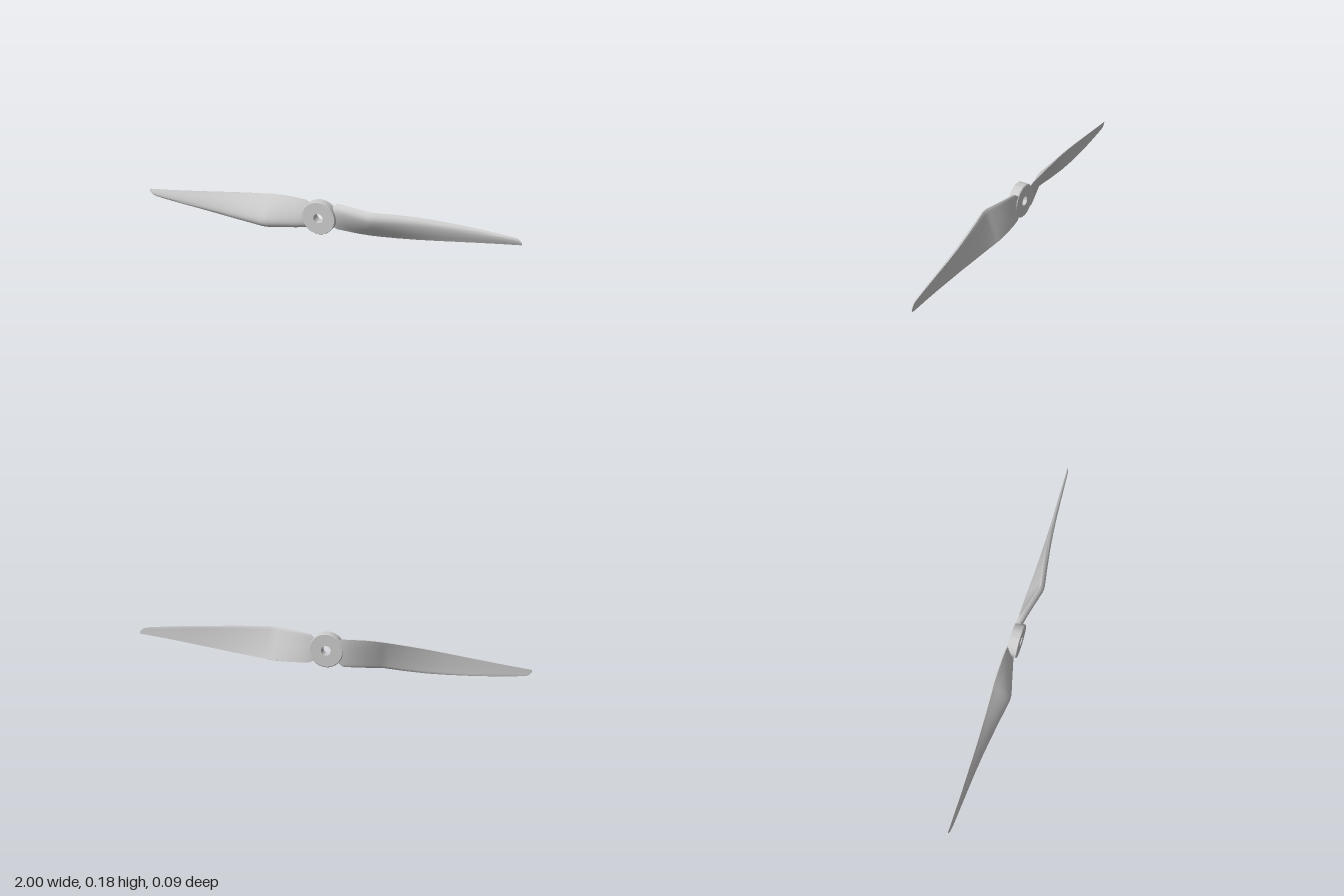
import * as THREE from 'three';
import { toCreasedNormals } from 'three/addons/utils/BufferGeometryUtils.js';

const AXIS_Y = 0.09; // height of the spin axis

// Stations along the blade: x, leading edge y z, trailing edge y z
const STATIONS = [
  [0.05, 0.143, -0.036, 0.042, -0.037],
  [0.065, 0.152, -0.034, 0.034, -0.039],
  [0.085, 0.169, -0.028, 0.024, -0.043],
  [0.13, 0.173, -0.015, 0.022, -0.046],
  [0.2, 0.176, 0.005, 0.02, -0.047],
  [0.265, 0.178, 0.025, 0.022, -0.047],
  [0.285, 0.178, 0.027, 0.024, -0.046],
  [0.31, 0.179, 0.024, 0.026, -0.044],
  [0.4, 0.179, 0.008, 0.035, -0.04],
  [0.5, 0.177, -0.007, 0.046, -0.037],
  [0.6, 0.172, -0.018, 0.059, -0.035],
  [0.7, 0.166, -0.025, 0.072, -0.035],
  [0.8, 0.159, -0.029, 0.085, -0.035],
  [0.9, 0.15, -0.032, 0.097, -0.036],
  [0.965, 0.143, -0.034, 0.104, -0.037],
  [0.985, 0.136, -0.035, 0.106, -0.037],
  [1.0, 0.12, -0.036, 0.108, -0.037],
];

// Airfoil: chord fraction and height over the chord, front side then back side
const AIRFOIL = [
  [0, 0], [0.008, 0.045], [0.03, 0.095], [0.07, 0.145], [0.14, 0.188], [0.22, 0.203],
  [0.32, 0.205], [0.45, 0.192], [0.6, 0.162], [0.75, 0.12], [0.9, 0.067], [1, 0.035],
  [1, 0], [0.75, 0], [0.5, 0], [0.25, -0.002], [0.1, -0.01], [0.03, -0.012],
];

// Airfoil sections lofted from root to tip, closed at both ends
function bladeGeometry() {
  const pos = [], index = [];
  const n = AIRFOIL.length, last = STATIONS.length - 1;
  for (const [x, ly, lz, ty, tz] of STATIONS) {
    const dy = ty - ly, dz = tz - lz;
    for (const [c, h] of AIRFOIL) {
      pos.push(x, ly + dy * c + dz * h - AXIS_Y, lz + dz * c - dy * h);
    }
  }
  for (let i = 0; i < last; i++) {
    for (let j = 0; j < n; j++) {
      const a = i * n + j, b = i * n + (j + 1) % n;
      index.push(a, b, a + n, b, b + n, a + n);
    }
  }
  for (let j = 1; j < n - 1; j++) {
    index.push(0, j + 1, j);
    index.push(last * n, last * n + j, last * n + j + 1);
  }
  const geo = new THREE.BufferGeometry();
  geo.setAttribute('position', new THREE.Float32BufferAttribute(pos, 3));
  geo.setIndex(index);
  return toCreasedNormals(geo, 0.75);
}

// Round hub with a shaft bore
function hubGeometry() {
  const profile = [
    [0.025, -0.038], [0.083, -0.038], [0.087, -0.034],
    [0.087, 0.01], [0.085, 0.012], [0.025, 0.012], [0.025, -0.038],
  ].map(([r, z]) => new THREE.Vector2(r, z));
  const geo = new THREE.LatheGeometry(profile, 64);
  geo.rotateX(Math.PI / 2);
  return toCreasedNormals(geo, 0.5);
}

export function createModel() {
  const model = new THREE.Group();
  model.name = 'propeller';
  const material = new THREE.MeshStandardMaterial({ color: 0xcccccc });

  const hub = new THREE.Mesh(hubGeometry(), material);
  hub.name = 'hub';
  hub.position.y = AXIS_Y;
  model.add(hub);

  // Two equal blades, half a turn apart
  const geo = bladeGeometry();
  ['leftBlade', 'rightBlade'].forEach((name, i) => {
    const blade = new THREE.Mesh(geo, material);
    blade.name = name;
    blade.position.y = AXIS_Y;
    blade.rotation.z = i * Math.PI;
    model.add(blade);
  });
  return model;
}
